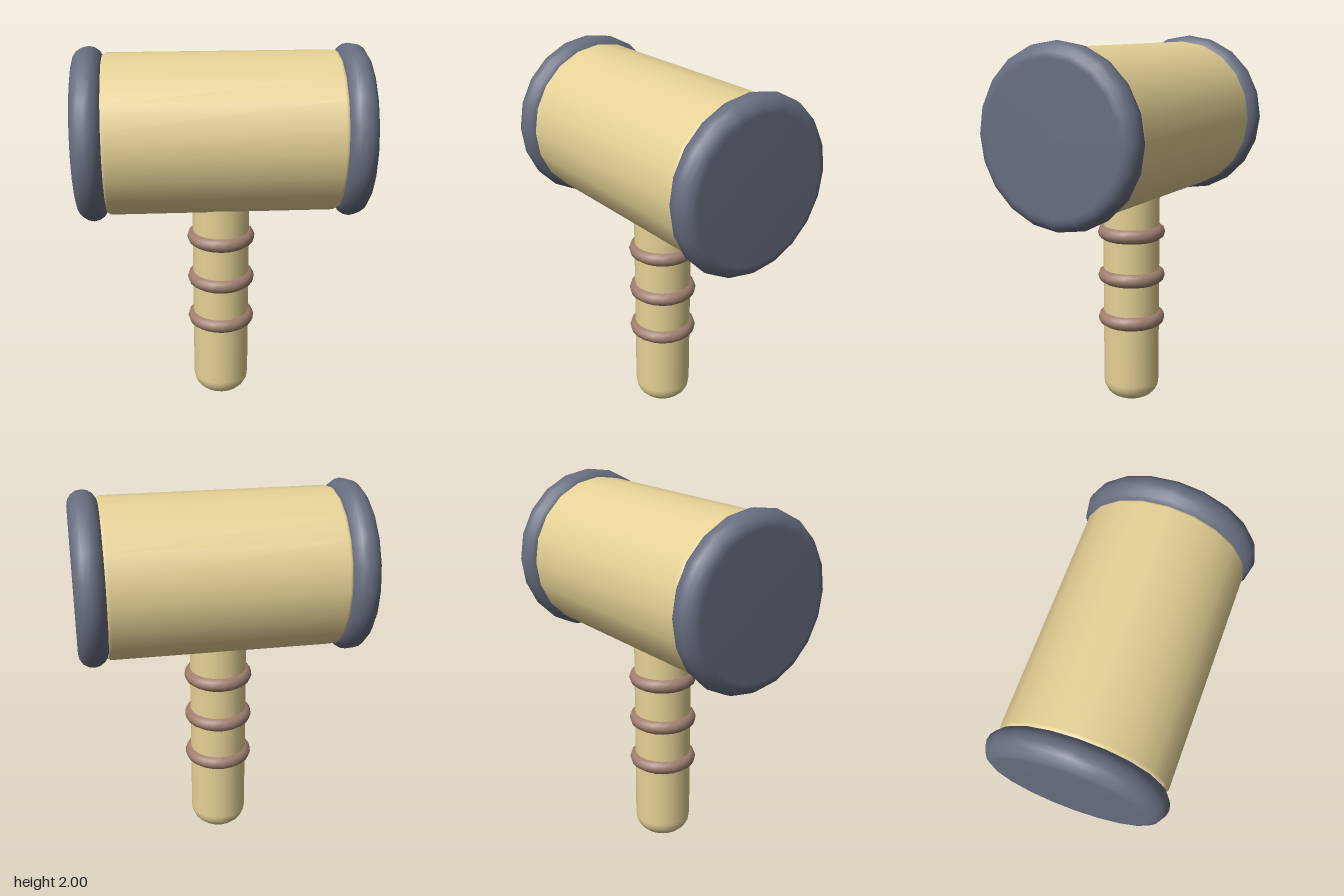
import * as THREE from 'three';

const SIDES = 20;
const wood = new THREE.MeshStandardMaterial({ color: 0xe6d296 });
const iron = new THREE.MeshStandardMaterial({ color: 0x686e80 });
const leather = new THREE.MeshStandardMaterial({ color: 0xa08070 });

// Turned part from [radius, height] pairs, listed bottom to top
function turned(name, points, material) {
  const profile = points.map(([r, h]) => new THREE.Vector2(r, h));
  const mesh = new THREE.Mesh(new THREE.LatheGeometry(profile, SIDES), material);
  mesh.name = name;
  return mesh;
}

// Points along a circular arc, as [radius, height] pairs
function arc(r, h, size, from, to, steps) {
  return Array.from({ length: steps + 1 }, (_, i) => {
    const a = from + ((to - from) * i) / steps;
    return [r + size * Math.cos(a), h + size * Math.sin(a)];
  });
}

export function createModel() {
  const model = new THREE.Group();
  model.name = 'mallet';

  // Head: barrel with two bulging end caps, lying along x
  const head = new THREE.Group();
  head.name = 'head';
  head.position.y = 1.547;
  head.rotation.z = -Math.PI / 2;
  model.add(head);

  head.add(turned('barrel', [[0.41, -0.6], [0.42, -0.585], [0.42, 0.585], [0.41, 0.6]], wood));

  const capProfile = [
    [0, -0.078],
    ...arc(0.375, 0, 0.078, -Math.PI / 2, Math.PI / 2, 8),
    [0, 0.078],
  ];
  for (const side of [-1, 1]) {
    const cap = turned(side > 0 ? 'leftCap' : 'rightCap', capProfile, iron);
    cap.position.y = side * 0.673;
    head.add(cap);
  }

  // Handle with a rounded foot, running up into the barrel
  model.add(turned('handle', [
    [0, 0],
    ...arc(0.055, 0.1, 0.1, -Math.PI / 2, 0, 5),
    [0.155, 1.22],
  ], wood));

  // Grip rings
  for (const y of [0.47, 0.715, 0.96]) {
    const ring = new THREE.Mesh(new THREE.TorusGeometry(0.145, 0.04, 10, SIDES), leather);
    ring.name = 'gripRing';
    ring.rotation.x = Math.PI / 2;
    ring.position.y = y;
    model.add(ring);
  }

  return model;
}
